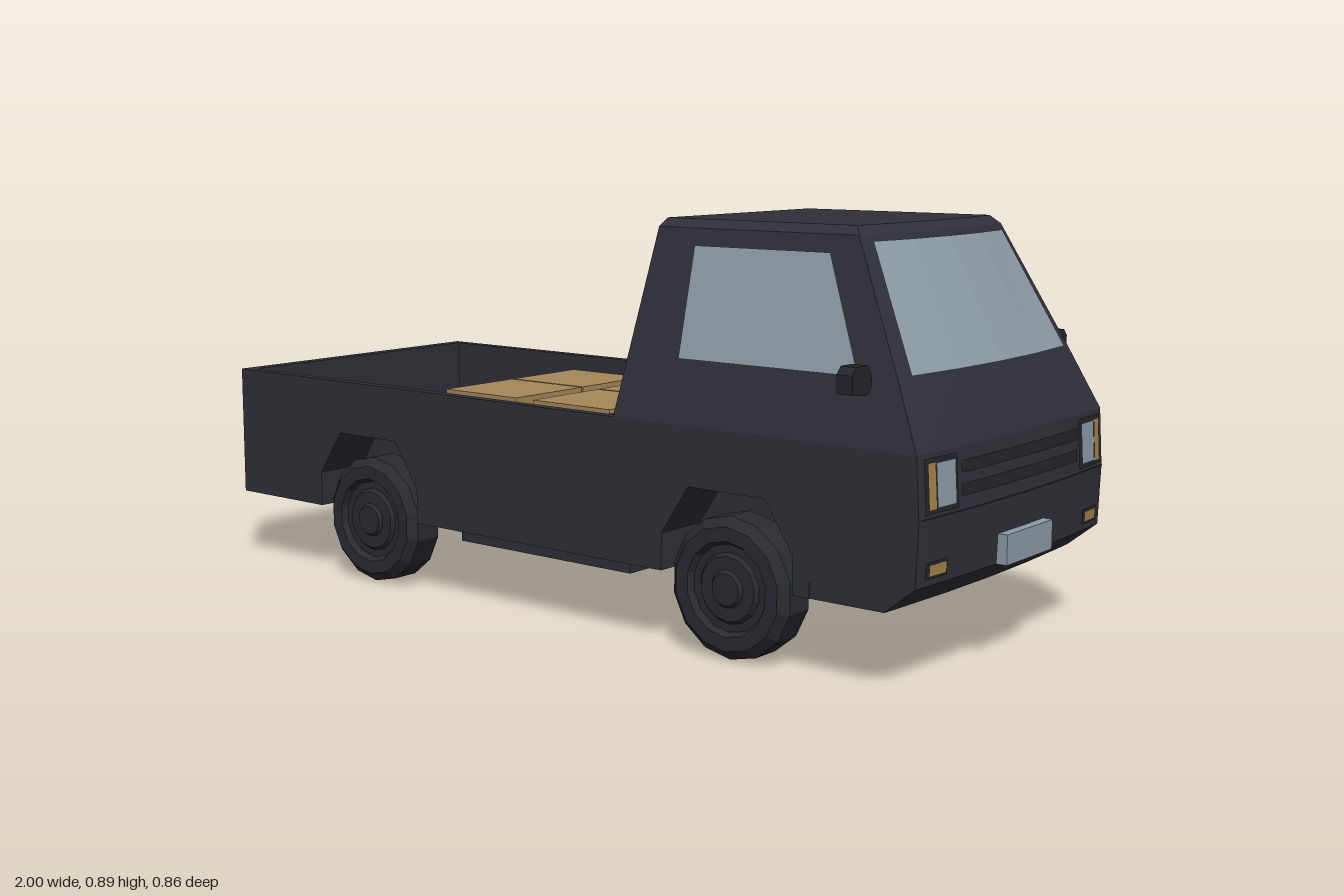
import * as THREE from 'three';

const mat = (name, color, extra = {}) =>
  Object.assign(new THREE.MeshStandardMaterial({ color, flatShading: true, ...extra }), { name });

// Cab outline by height: [y, rear x, front x at centre, front sweep, half width]
const NOSE = [
  [0.165, 0.72, 0.91, 0.015, 0.378],
  [0.22, 0.72, 0.978, 0.015, 0.38],
  [0.35, 0.72, 0.983, 0.015, 0.38],
  [0.475, 0.72, 0.975, 0.015, 0.38],
];
const CAB = [
  [0.475, 0.225, 0.975, 0.015, 0.38],
  [0.61, 0.24, 0.92, 0.025, 0.346],
  [0.87, 0.268, 0.787, 0.025, 0.28],
  [0.888, 0.275, 0.765, 0.02, 0.26],
];
const FRACTIONS = [-1, -0.9, -0.45, 0, 0.45, 0.9, 1];

// Stack of outlines joined into a closed shell
function loft(levels) {
  const loops = levels.map(([y, xr, xf, d, w]) => [
    [xr, y, -w], ...FRACTIONS.map(f => [xf - d * f * f, y, f * w]), [xr, y, w]]);
  const pos = [], n = loops[0].length, last = loops[loops.length - 1];
  for (let i = 0; i < loops.length - 1; i++) {
    for (let j = 0; j < n; j++) {
      const k = (j + 1) % n, a = loops[i][j], b = loops[i][k], c = loops[i + 1][j], e = loops[i + 1][k];
      pos.push(...a, ...c, ...b, ...b, ...c, ...e);
    }
  }
  for (let j = 1; j < n - 1; j++) {
    pos.push(...last[0], ...last[j + 1], ...last[j]);
    pos.push(...loops[0][0], ...loops[0][j], ...loops[0][j + 1]);
  }
  return fromTriangles(pos);
}

function fromTriangles(pos) {
  const g = new THREE.BufferGeometry();
  g.setAttribute('position', new THREE.Float32BufferAttribute(pos, 3));
  g.computeVertexNormals();
  return g;
}

// Point on the front skin at height y and sideways fraction f
function skin(levels, y, f, off) {
  let i = 0;
  while (i < levels.length - 2 && y > levels[i + 1][0]) i++;
  const a = levels[i], b = levels[i + 1], t = (y - a[0]) / (b[0] - a[0]);
  const v = k => a[k] + (b[k] - a[k]) * t;
  return [v(2) - v(3) * f * f + off, y, f * v(4)];
}

// Thin plate that follows the front skin
function frontPlate(levels, y0, y1, f0, f1, off, steps = 4) {
  const pos = [];
  for (let i = 0; i < steps; i++) {
    const fa = f0 + (f1 - f0) * i / steps, fb = f0 + (f1 - f0) * (i + 1) / steps;
    const a = skin(levels, y0, fa, off), b = skin(levels, y0, fb, off);
    const c = skin(levels, y1, fa, off), e = skin(levels, y1, fb, off);
    pos.push(...a, ...c, ...b, ...b, ...c, ...e);
  }
  return fromTriangles(pos);
}

const quad = (a, b, c, d) => fromTriangles([...a, ...b, ...c, ...a, ...c, ...d]);

// Wheel arch outline around a centre, widened by e
const arch = (cx, e = 0) => [
  [cx - 0.165 - e, 0.165], [cx - 0.165 - e, 0.245], [cx - 0.095 - e, 0.35 + e],
  [cx + 0.095 + e, 0.35 + e], [cx + 0.165 + e, 0.245], [cx + 0.165 + e, 0.165]];

function extrude(points, depth, z) {
  const shape = new THREE.Shape(points.map(p => new THREE.Vector2(...p)));
  return new THREE.ExtrudeGeometry(shape, { depth, bevelEnabled: false }).translate(0, 0, z);
}

export function createModel() {
  const both = { side: THREE.DoubleSide };
  const paint = mat('body paint', 0x2f3038);
  const trim = mat('dark trim', 0x25252b, both);
  const rubber = mat('tyre rubber', 0x2a2a31);
  const glass = mat('glass', 0x8d9ca7, both);
  const amber = mat('amber lamp', 0xa58449, both);
  const card = mat('cardboard', 0xa58759);

  const model = new THREE.Group();
  const add = (name, geo, material, parent = model) => {
    const m = new THREE.Mesh(geo, material);
    m.name = name;
    parent.add(m);
    return m;
  };
  // Box given by its limits
  const block = (name, x0, x1, y0, y1, z0, z1, material) =>
    add(name, new THREE.BoxGeometry(x1 - x0, y1 - y0, z1 - z0)
      .translate((x0 + x1) / 2, (y0 + y1) / 2, (z0 + z1) / 2), material);

  // Cab and nose
  add('cab', loft(CAB), paint);
  add('nose', loft(NOSE), paint);
  add('windshield', frontPlate(CAB, 0.612, 0.858, -0.9, 0.9, 0.006), glass);
  const rearX = y => 0.221 + 0.11 * (y - 0.475);
  add('rearWindow', quad([rearX(0.51), 0.51, -0.25], [rearX(0.51), 0.51, 0.25],
    [rearX(0.83), 0.83, 0.195], [rearX(0.83), 0.83, -0.195]), glass);

  // Cargo bed
  block('bedFloor', -0.97, 0.73, 0.166, 0.2, -0.25, 0.25, paint);
  block('tailgate', -0.99, -0.96, 0.165, 0.475, -0.38, 0.38, paint);
  block('bedFrontWall', 0.19, 0.24, 0.167, 0.474, -0.37, 0.37, paint);

  const axles = [-0.535, 0.52];
  const wheelProfile = [[0, -0.045], [0.135, -0.045], [0.15, -0.035], [0.15, 0.03], [0.13, 0.048],
    [0.1, 0.048], [0.092, 0.034], [0.075, 0.034], [0.068, 0.042], [0.04, 0.042], [0.034, 0.05], [0, 0.05]]
    .map(p => new THREE.Vector2(...p));

  for (const s of [1, -1]) {
    const side = s > 0 ? 'left' : 'right';
    const zs = (z0, z1) => s > 0 ? [z0, z1] : [-z1, -z0];
    const slab = (points, z0, z1) => extrude(points, z1 - z0, zs(z0, z1)[0]);

    // Side panel with both arches cut out
    add(side + 'SidePanel', slab([[-0.985, 0.165], ...arch(axles[0]), ...arch(axles[1]),
      [0.725, 0.165], [0.725, 0.475], [-0.985, 0.475]], 0.355, 0.38), paint);

    // Floor strips between the wheel wells
    for (const [x0, x1] of [[-0.97, -0.7], [-0.37, 0.355], [0.685, 0.73]])
      block(side + 'FloorStrip', x0, x1, 0.166, 0.2, ...zs(0.245, 0.36), paint);

    axles.forEach((cx, i) => {
      const name = side + (i ? 'Front' : 'Rear');
      // Wheel well: arched shell and inner wall
      add(name + 'WheelWell', slab([...arch(cx, 0.008), ...arch(cx).reverse()], 0.25, 0.357), paint);
      add(name + 'WellWall', slab(arch(cx, 0.008), 0.242, 0.25), paint);
      // Wheel
      const wheel = add(name + 'Wheel', new THREE.LatheGeometry(wheelProfile, 14), rubber);
      wheel.rotation.x = s * Math.PI / 2;
      wheel.position.set(cx, 0.15, s * 0.33);
    });

    // Door window
    const at = (x, y) => [x, y, s * (0.384 - 0.253 * (y - 0.475))];
    add(side + 'DoorWindow', quad(at(0.375, 0.607), at(0.81, 0.607), at(0.705, 0.835), at(0.372, 0.835)), glass);

    // Mirror on a short arm
    const mirror = new THREE.Shape([[0.365, 0.592], [0.38, 0.577], [0.43, 0.583], [0.432, 0.62], [0.418, 0.635],
      [0.38, 0.635], [0.367, 0.62]].map(p => new THREE.Vector2(-s * p[0], p[1])));
    const head = add(side + 'Mirror', new THREE.ExtrudeGeometry(mirror, { depth: 0.035, bevelEnabled: false }), trim);
    head.rotation.y = Math.PI / 2;
    head.position.x = 0.815;
    head.scale.x = 1;
    block(side + 'MirrorArm', 0.82, 0.84, 0.59, 0.605, ...zs(0.335, 0.372), trim);

    // Front lamps
    const lamp = (name, y0, y1, z0, z1, off, m) =>
      add(side + name, frontPlate(NOSE, y0, y1, ...zs(z0 / 0.38, z1 / 0.38), off, 1), m);
    lamp('HeadlightFrame', 0.36, 0.466, 0.252, 0.362, 0.003, trim);
    lamp('Headlight', 0.37, 0.456, 0.262, 0.326, 0.006, glass);
    lamp('TurnSignal', 0.368, 0.458, 0.328, 0.354, 0.006, amber);
    lamp('BumperLampFrame', 0.235, 0.268, 0.282, 0.354, 0.003, trim);
    lamp('BumperLamp', 0.24, 0.263, 0.288, 0.346, 0.006, amber);

    // Tail lamp and underside rail
    block(side + 'TailLamp', -0.995, -0.988, 0.195, 0.235, ...zs(0.3, 0.36), amber);
    block(side + 'UnderRail', -0.335, 0.18, 0.11, 0.17, ...zs(0.2, 0.27), paint);
  }

  // Grille slats and plates
  for (const y of [0.38, 0.425])
    add('grilleSlat', frontPlate(NOSE, y, y + 0.024, -0.63, 0.63, 0.004), trim);
  add('bumperSeam', frontPlate(NOSE, 0.351, 0.354, -0.99, 0.99, 0.003), trim);
  block('frontPlate', 0.97, 1, 0.22, 0.282, -0.095, 0.095, glass);
  block('rearPlate', -1, -0.985, 0.17, 0.232, -0.095, 0.095, glass);

  // Cargo boxes, two layers of four
  const cargo = new THREE.Group();
  cargo.name = 'cargo';
  model.add(cargo);
  for (let layer = 0; layer < 2; layer++)
    for (const x of [-0.308, -0.028])
      for (const z of [-0.117, 0.115]) {
        const b = add('cargoBox', new THREE.BoxGeometry(0.228, 0.126, 0.226), card, cargo);
        b.position.set(x + (layer ? 0 : 0.004), 0.264 + layer * 0.131, z + (layer ? 0 : -0.003));
      }
  return model;
}
